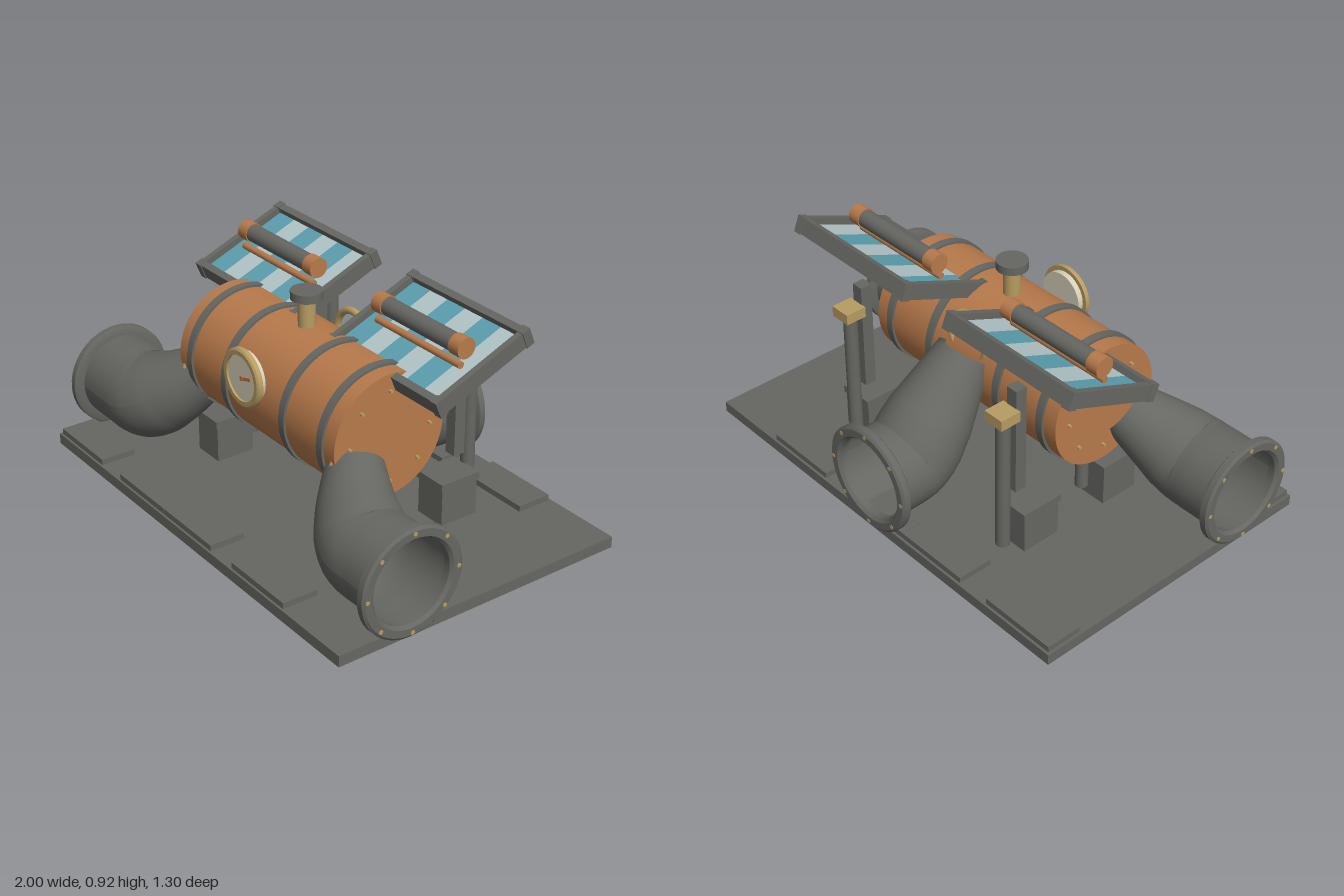
import * as THREE from 'three';
import { toCreasedNormals } from 'three/addons/utils/BufferGeometryUtils.js';

const mat = (name, color, side = THREE.FrontSide) => {
  const m = new THREE.MeshStandardMaterial({ color, side });
  m.name = name;
  return m;
};
const V = (x, y, z) => new THREE.Vector3(x, y, z);

export function createModel() {
  const root = new THREE.Group();
  root.name = 'boilerMachine';
  const iron = mat('iron', 0x666762, THREE.DoubleSide);
  const copper = mat('copper', 0xb87a4b);
  const brass = mat('brass', 0xb89c62);
  const cream = mat('cream', 0xd6d0ba);
  const teal = mat('tealGlass', 0x5c9fb0);
  const pale = mat('paleGlass', 0xb2c5c8);

  const add = (name, geo, material, x = 0, y = 0, z = 0, parent = root) => {
    const m = new THREE.Mesh(geo, material);
    m.name = name;
    m.position.set(x, y, z);
    parent.add(m);
    return m;
  };
  const box = (name, material, w, h, d, x, y, z, parent) =>
    add(name, new THREE.BoxGeometry(w, h, d), material, x, y, z, parent);
  // Cylinder lying along 'x', 'y' or 'z'
  const cyl = (name, material, axis, r, len, x, y, z, parent, sides = 32) => {
    const g = new THREE.CylinderGeometry(r, r, len, sides);
    if (axis === 'x') g.rotateZ(-Math.PI / 2);
    if (axis === 'z') g.rotateX(Math.PI / 2);
    return add(name, g, material, x, y, z, parent);
  };

  // Floor plate with raised treads
  box('basePlate', iron, 1.95, 0.046, 1.285, -0.005, 0.028, 0.007);
  for (const x of [-0.805, -0.335, -0.005, 0.465]) {
    box('frontTread', iron, 0.328, 0.025, 0.15, x, 0.063, 0.565);
    box('backTread', iron, 0.328, 0.025, 0.15, x, 0.063, -0.55);
  }

  // Boiler drum, hoops and end rivets
  const BY = 0.515, BZ = 0.08;
  cyl('boilerDrum', copper, 'x', 0.25, 1.02, 0, BY, BZ, root, 64);
  for (const x of [-0.43, -0.19, 0.195, 0.43])
    cyl('boilerHoop', iron, 'x', 0.26, 0.034, x, BY, BZ, root, 64);
  for (const s of [-1, 1])
    for (let i = 0; i < 8; i++) {
      const a = i * Math.PI / 4;
      cyl('endRivet', brass, 'x', 0.007, 0.02, s * 0.513,
        BY + 0.183 * Math.sin(a), BZ + 0.183 * Math.cos(a), root, 10);
    }

  // Pressure gauge
  cyl('gaugeBody', cream, 'z', 0.1, 0.032, 0, 0.63, 0.355);
  const rim = new THREE.LatheGeometry([[0.092, 0.362], [0.118, 0.362], [0.118, 0.38],
    [0.11, 0.386], [0.092, 0.386], [0.092, 0.362]].map(p => new THREE.Vector2(...p)), 48);
  add('gaugeRim', toCreasedNormals(rim.rotateX(Math.PI / 2), 0.6), brass, 0, 0.63, 0);
  cyl('gaugeFace', cream, 'z', 0.094, 0.008, 0, 0.63, 0.373);
  box('gaugeNeedle', copper, 0.065, 0.013, 0.008, 0.03, 0.637, 0.379).rotation.z = 0.28;
  cyl('needleHub', copper, 'z', 0.01, 0.008, 0.002, 0.63, 0.38, root, 16);

  // Top valve
  cyl('valveStem', brass, 'y', 0.034, 0.13, 0, 0.815, BZ);
  cyl('valveCap', iron, 'y', 0.063, 0.034, 0, 0.893, BZ);

  // Tapering open pipe along a curve
  const pipe = (name, pts, radii) => {
    const curve = new THREE.CatmullRomCurve3(pts, false, 'centripetal');
    const n = 32, sides = 40;
    const g = new THREE.TubeGeometry(curve, n, 1, sides);
    const pos = g.attributes.position, v = V(0, 0, 0);
    for (let i = 0; i <= n; i++) {
      const c = curve.getPointAt(i / n);
      const f = (i / n) * (radii.length - 1), k = Math.min(Math.floor(f), radii.length - 2);
      const r = THREE.MathUtils.lerp(radii[k], radii[k + 1], f - k);
      for (let j = 0; j <= sides; j++) {
        const q = i * (sides + 1) + j;
        v.fromBufferAttribute(pos, q).sub(c).multiplyScalar(r).add(c);
        pos.setXYZ(q, v.x, v.y, v.z);
      }
    }
    g.computeVertexNormals();
    add(name, g, iron);
  };
  // Bolted flange facing local +z
  const flange = (name, x, y, z, turn) => {
    const grp = new THREE.Group();
    grp.name = name;
    const g = new THREE.LatheGeometry([[0.168, -0.042], [0.208, -0.042], [0.22, -0.034], [0.22, -0.008],
      [0.21, 0], [0.18, 0], [0.168, -0.012], [0.168, -0.042]].map(p => new THREE.Vector2(...p)), 48);
    add('flangeRing', toCreasedNormals(g.rotateX(Math.PI / 2), 0.6), iron, 0, 0, 0, grp);
    for (let i = 0; i < 8; i++) {
      const a = i * Math.PI / 4;
      cyl('flangeBolt', brass, 'z', 0.009, 0.008, 0.2 * Math.cos(a), 0.2 * Math.sin(a), -0.002, grp, 8);
    }
    grp.position.set(x, y, z);
    grp.rotation.y = turn;
    root.add(grp);
  };
  const taper = [0.18, 0.18, 0.18, 0.18, 0.17, 0.15, 0.13, 0.11];
  for (const s of [-1, 1]) {
    pipe('sidePipe', [V(s * 0.985, 0.245, 0.35), V(s * 0.85, 0.245, 0.35), V(s * 0.73, 0.25, 0.347),
      V(s * 0.62, 0.31, 0.305), V(s * 0.48, 0.425, 0.215)], taper);
    flange('sideFlange', s, 0.243, 0.352, s * Math.PI / 2);
    add('sideCollar', new THREE.TorusGeometry(0.11, 0.014, 12, 40).rotateY(Math.PI / 2),
      brass, s * 0.49, 0.43, 0.215);
  }
  pipe('backPipe', [V(0, 0.245, -0.64), V(0, 0.245, -0.53), V(0, 0.255, -0.45),
    V(0, 0.36, -0.355), V(0, 0.6, -0.16)], taper);
  flange('backFlange', 0, 0.243, -0.652, Math.PI);
  add('backCollar', new THREE.TorusGeometry(0.1, 0.015, 12, 40), brass, 0, 0.66, -0.14);

  // Footing blocks, posts and struts on each side
  for (const s of [-1, 1]) {
    const x = s * 0.46;
    for (const z of [0.16, -0.25]) {
      box('footBlock', iron, 0.14, 0.155, 0.17, x, 0.128, z);
      box('footCap', iron, 0.152, 0.03, 0.184, x, 0.218, z);
    }
    cyl('drainPost', iron, 'y', 0.026, 0.19, s * 0.44, 0.205, 0.045);
    cyl('rearPost', iron, 'y', 0.028, 0.59, s * 0.44, 0.345, -0.362);
    box('rearPostCap', brass, 0.09, 0.044, 0.09, s * 0.44, 0.653, -0.365);
    box('rearBar', iron, 0.05, 0.46, 0.05, s * 0.44, 0.52, -0.297);
    const a = V(s * 0.3, 0.65, 0.02), b = V(s * 0.3, 0.785, -0.17);
    const strut = cyl('panelStrut', copper, 'y', 0.026, a.distanceTo(b), 0, 0, 0, root, 20);
    strut.position.copy(a).lerp(b, 0.5);
    strut.quaternion.setFromUnitVectors(V(0, 1, 0), b.clone().sub(a).normalize());
  }

  // Tilted glass panels with a lamp tube above each
  for (const s of [-1, 1]) {
    const p = new THREE.Group();
    p.name = s > 0 ? 'leftPanel' : 'rightPanel';
    p.position.set(s * 0.441, 0.808, -0.14);
    p.rotation.x = 0.39;
    root.add(p);
    const W = 0.65, D = 0.45;
    box('panelTray', iron, W, 0.03, D, 0, -0.017, 0, p);
    for (const e of [-1, 1]) {
      box('sideRail', iron, 0.026, 0.064, D, e * (W / 2 - 0.013), 0, 0, p);
      box('endRail', iron, W, 0.064, 0.03, 0, 0, e * (D / 2 - 0.015), p);
      for (const f of [-1, 1])
        box('cornerBlock', iron, 0.036, 0.07, 0.036, e * (W / 2 - 0.014), 0, f * (D / 2 - 0.014), p);
    }
    const w = (W - 0.052) / 6;
    for (let i = 0; i < 6; i++)
      box('glassStrip', i % 2 ? pale : teal, w, 0.008, D - 0.06, (i - 2.5) * w, 0.002, 0, p);
    const x = s * 0.441;
    cyl('lampTube', iron, 'x', 0.036, 0.42, x, 0.88, -0.115);
    for (const e of [-1, 1])
      cyl('lampCap', copper, 'x', 0.041, 0.055, x + e * 0.222, 0.88, -0.115);
    cyl('heatRod', copper, 'x', 0.014, 0.48, x, 0.815, -0.1, root, 16);
  }
  return root;
}
